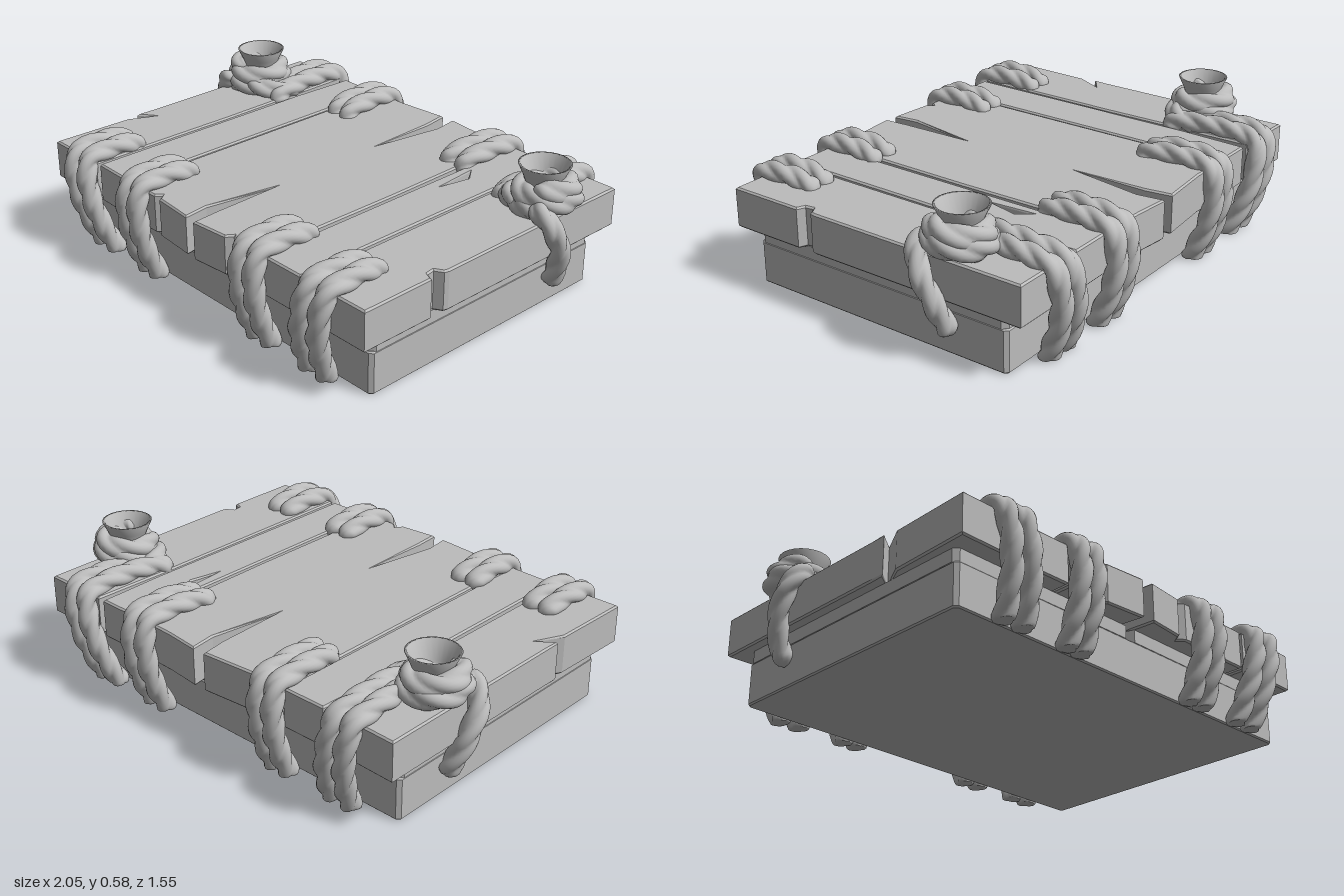
import * as THREE from 'three';
import { mergeVertices } from 'three/addons/utils/BufferGeometryUtils.js';

const grey = new THREE.MeshStandardMaterial({ color: 0xbcbcbc });
grey.name = 'plain grey';

// Flat slab from an outline of [x, z] points, standing between two heights
function slab(name, outline, y0, y1, bevel, holes = []) {
  const toPts = (list) => list.map(([x, z]) => new THREE.Vector2(x, -z));
  const shape = new THREE.Shape(toPts(outline));
  holes.forEach((h) => shape.holes.push(new THREE.Path(toPts(h))));
  const geo = new THREE.ExtrudeGeometry(shape, {
    depth: y1 - y0 - 2 * bevel, bevelEnabled: bevel > 0, bevelSize: bevel,
    bevelThickness: bevel, bevelOffset: -bevel, bevelSegments: 1,
  });
  geo.rotateX(-Math.PI / 2).translate(0, y0 + bevel, 0);
  const mesh = new THREE.Mesh(geo, grey);
  mesh.name = name;
  return mesh;
}

// Twisted three-strand rope along a path, tapered at the ends, cut flat at the ground
function rope(name, points, radius) {
  const curve = new THREE.CatmullRomCurve3(points.map((p) => new THREE.Vector3(...p)));
  const length = curve.getLength();
  const rows = Math.ceil(length / 0.011), sides = 21;
  const geo = new THREE.TubeGeometry(curve, rows, radius, sides);
  const pos = geo.attributes.position, v = new THREE.Vector3();
  for (let i = 0; i <= rows; i++) {
    const t = i / rows, centre = curve.getPointAt(t);
    const end = Math.min(t, 1 - t) * length / radius;
    const taper = Math.sqrt(Math.min(1, end / 0.9));
    for (let j = 0; j <= sides; j++) {
      const k = i * (sides + 1) + j;
      const angle = (j / sides) * Math.PI * 2 + t * length * 17;
      const lobe = 0.76 + 0.3 * Math.abs(Math.cos(1.5 * angle));
      v.fromBufferAttribute(pos, k).sub(centre).multiplyScalar(lobe * taper).add(centre);
      pos.setXYZ(k, v.x, Math.max(0, v.y), v.z);
    }
  }
  geo.deleteAttribute('uv');
  geo.deleteAttribute('normal');
  const merged = mergeVertices(geo, 1e-5);
  merged.computeVertexNormals();
  const mesh = new THREE.Mesh(merged, grey);
  mesh.name = name;
  return mesh;
}

// Rope hooked over the plank edge: on the top from x0 to x1, then down to x2 at the ground
function lashing(name, x0, x1, x2, zIn, side) {
  const at = (t) => x1 + (x2 - x1) * t;
  return rope(name, [
    [x0, 0.385, side * zIn], [(x0 + x1) / 2, 0.42, side * (zIn + 0.08)],
    [x1, 0.425, side * 0.64], [at(0.05), 0.405, side * 0.705],
    [at(0.2), 0.34, side * 0.728], [at(0.5), 0.22, side * 0.722],
    [at(0.75), 0.11, side * 0.69], [x2, -0.03, side * 0.628],
  ], 0.043);
}

// Coiled knot with a flared open stub and a hanging tail
function knot(s) {
  const g = new THREE.Group();
  g.name = s > 0 ? 'leftKnot' : 'rightKnot';
  const cx = 0.855, cz = -0.365;
  const coil = [];
  for (let i = 0; i <= 34; i++) {
    const t = i / 34, a = 0.9 + t * Math.PI * 4.2, r = 0.107 - 0.022 * t;
    coil.push([s * (cx + Math.cos(a) * r), 0.425 + 0.085 * t, cz + Math.sin(a) * r]);
  }
  g.add(rope('knotCoil', coil, 0.046));

  const profile = [[0.05, 0.43], [0.07, 0.5], [0.085, 0.54], [0.105, 0.582], [0.095, 0.582],
    [0.06, 0.51], [0.05, 0.46], [0, 0.455]].map(([x, y]) => new THREE.Vector2(x, y));
  const stub = new THREE.Mesh(new THREE.LatheGeometry(profile, 24), grey);
  stub.name = 'knotStub';
  stub.position.set(s * 0.84, 0, cz);
  g.add(stub);

  g.add(rope('knotTail', [
    [s * 0.88, 0.46, -0.25], [s * 0.945, 0.43, -0.245], [s * 0.98, 0.36, -0.275],
    [s * 0.975, 0.26, -0.32], [s * 0.94, 0.16, -0.345], [s * 0.905, 0.085, -0.355],
  ], 0.042));
  // Loose strand leading from the knot to the edge lashing
  g.add(rope('knotLead', [
    [s * 0.83, 0.44, -0.27], [s * 0.74, 0.43, -0.29], [s * 0.69, 0.425, -0.36], [s * 0.69, 0.41, -0.46],
  ], 0.043));
  return g;
}

export function createModel() {
  const model = new THREE.Group();
  model.name = 'lashedPlatform';

  // Base block with chipped corners and a shallow split in its front edge
  model.add(slab('baseLower', [[-0.9, 0.6], [-0.885, 0.615], [0.885, 0.615], [0.9, 0.6],
    [0.9, -0.59], [0.885, -0.605], [-0.885, -0.605], [-0.9, -0.59]], 0, 0.18, 0.006));
  model.add(slab('baseUpper', [[-0.9, 0.59], [-0.88, 0.61], [-0.02, 0.615], [0.01, 0.57], [0.03, 0.615],
    [0.88, 0.61], [0.9, 0.59], [0.9, -0.58], [0.88, -0.6], [-0.88, -0.6], [-0.9, -0.58]], 0.178, 0.232, 0));

  // Top planks
  const planks = [
    ['rightOuterPlank', [[-0.945, 0.69], [-0.65, 0.69], [-0.645, 0], [-0.655, -0.69], [-0.945, -0.7],
      [-0.945, 0.2], [-0.945, 0.27], [-0.875, 0.215], [-0.935, 0.33]]],
    ['rightInnerPlank', [[-0.63, 0.685], [-0.42, 0.69], [-0.418, -0.695], [-0.615, -0.695], [-0.628, -0.4]]],
    // centre plank, split from both ends
    ['centrePlank', [[-0.408, 0.69], [-0.25, 0.69], [-0.23, 0.665], [-0.21, 0.695], [-0.022, 0.71],
      [-0.035, 0.6], [0.018, 0.27], [0.022, 0.6], [0.03, 0.715], [0.2, 0.7], [0.22, 0.67], [0.25, 0.695],
      [0.385, 0.695], [0.39, 0], [0.38, -0.695], [0.2, -0.7], [0.045, -0.715], [0.06, -0.6],
      [0.012, -0.27], [0.005, -0.6], [-0.012, -0.715], [-0.25, -0.695], [-0.408, -0.7]]],
    ['leftInnerPlank', [[0.408, 0.69], [0.612, 0.69], [0.618, -0.4], [0.61, -0.695], [0.408, -0.695]],
      [[[0.445, -0.39], [0.485, -0.33], [0.46, -0.19]]]],
    ['leftOuterPlank', [[0.63, 0.69], [0.94, 0.69], [0.94, 0.36], [0.905, 0.345], [0.9, 0.31],
      [0.935, 0.29], [0.94, 0.27], [0.94, -0.695], [0.64, -0.695], [0.63, -0.3]]],
  ];
  planks.forEach(([name, outline, holes]) => model.add(slab(name, outline, 0.232, 0.402, 0.007, holes)));

  // Rope pairs over the front and back edges
  for (const s of [1, -1]) {
    const inner = s > 0 ? [0.32, 0.402] : [-0.32, -0.395];
    for (const x of inner) {
      model.add(lashing('frontInnerLashing', x, x, x - s * 0.01, 0.42, 1));
      model.add(lashing('backInnerLashing', x - s * 0.02, x, x - s * 0.01, 0.37, -1));
    }
    model.add(lashing('frontOuterLashing', s * 0.76, s * 0.775, s * 0.7, 0.42, 1));
    model.add(lashing('frontOuterLashing', s * 0.69, s * 0.685, s * 0.605, 0.42, 1));
    model.add(lashing('backOuterLashing', s * 0.74, s * 0.775, s * 0.7, 0.38, -1));
    model.add(lashing('backOuterLashing', s * 0.66, s * 0.695, s * 0.605, 0.28, -1));
    model.add(knot(s));
  }
  return model;
}
